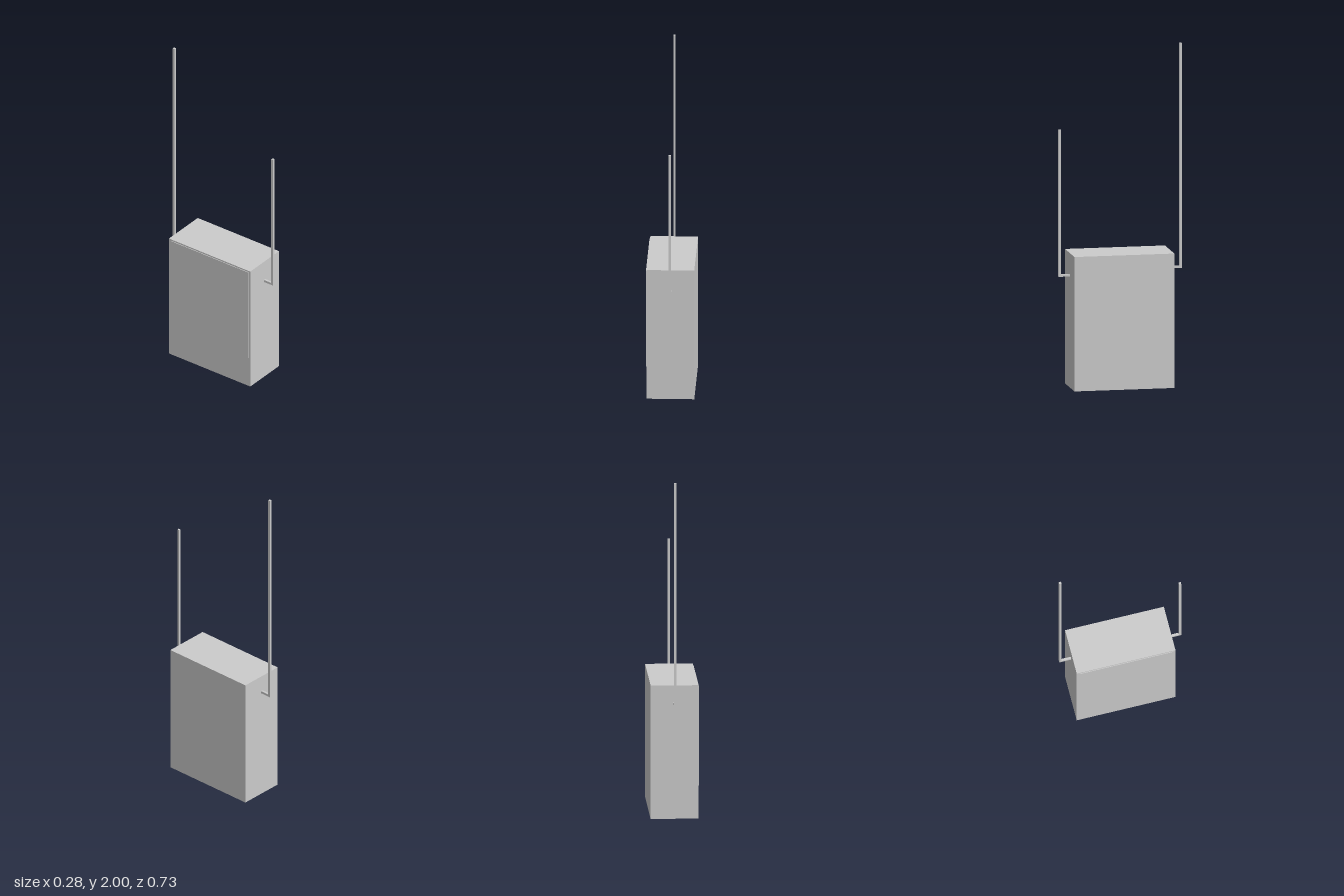
import * as THREE from 'three';

const material = new THREE.MeshStandardMaterial({ color: 0xcccccc, flatShading: true });

// Box given by its lower and upper bounds on each axis
function block(name, [x0, x1], [y0, y1], [z0, z1]) {
  const mesh = new THREE.Mesh(new THREE.BoxGeometry(x1 - x0, y1 - y0, z1 - z0), material);
  mesh.position.set((x0 + x1) / 2, (y0 + y1) / 2, (z0 + z1) / 2);
  mesh.name = name;
  return mesh;
}

// L-shaped square rod: a short arm out of the case, then an upright
function bentRod(name, side, inner, outer, bottom, top) {
  const rod = new THREE.Group();
  rod.name = name;
  const t = 0.0135, x = [-t / 2, t / 2];
  const span = (a, b) => (side > 0 ? [a, b] : [-b, -a]);
  rod.add(
    block('arm', x, [bottom, bottom + t], span(inner, outer - t)),
    block('upright', x, [bottom, top], span(outer - t, outer)),
  );
  return rod;
}

export function createModel() {
  const model = new THREE.Group();
  model.name = 'boxWithRods';

  // Main case and the thin cover plate on its -x side
  model.add(block('case', [-0.137, 0.139], [0, 0.789], [-0.293, 0.296]));
  model.add(block('coverPlate', [-0.141, -0.137], [0.192, 0.78], [-0.278, 0.284]));

  // Short rod in front, tall rod behind
  model.add(bentRod('frontRod', 1, 0.296, 0.363, 0.652, 1.515));
  model.add(bentRod('backRod', -1, 0.293, 0.364, 0.679, 2));
  return model;
}
